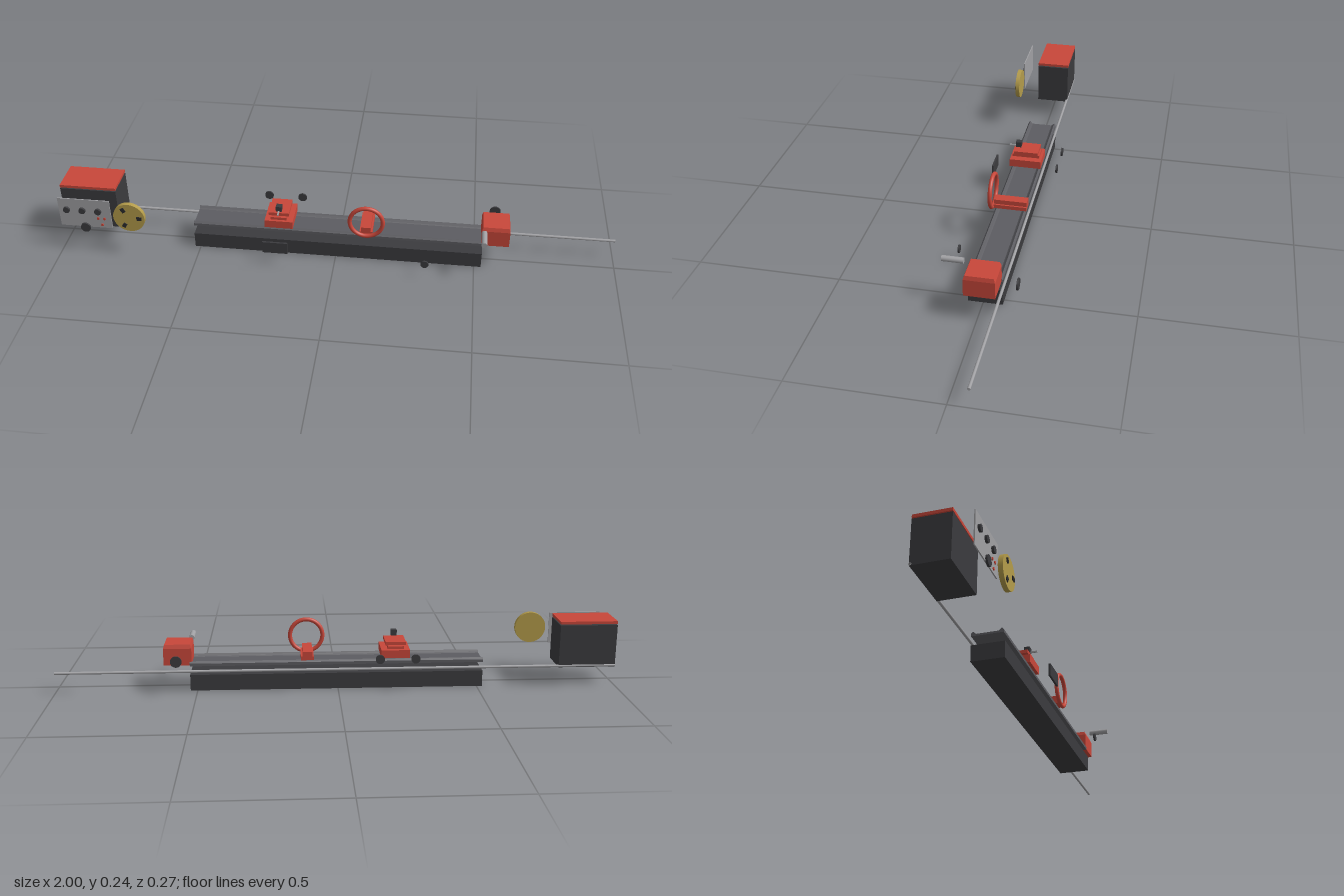
import * as THREE from 'three';

const material = (color) => new THREE.MeshStandardMaterial({ color });
const red = material(0xc8473a), dark = material(0x3b3b3e), iron = material(0x5c5c61);
const steel = material(0xa0a0a3), brass = material(0xb39b4a), black = material(0x2a2a2c);

export function createModel() {
  const root = new THREE.Group();

  const add = (name, geometry, mat, parent = root) => {
    const mesh = new THREE.Mesh(geometry, mat);
    mesh.name = name;
    parent.add(mesh);
    return mesh;
  };
  // Box given by its limits on each axis
  const box = (name, mat, [x0, x1], [y0, y1], [z0, z1], parent) => {
    const mesh = add(name, new THREE.BoxGeometry(x1 - x0, y1 - y0, z1 - z0), mat, parent);
    mesh.position.set((x0 + x1) / 2, (y0 + y1) / 2, (z0 + z1) / 2);
    return mesh;
  };
  // Disc or rod along z
  const disc = (name, mat, x, y, [z0, z1], r, parent, sides = 32) => {
    const geometry = new THREE.CylinderGeometry(r, r, z1 - z0, sides).rotateX(Math.PI / 2);
    const mesh = add(name, geometry, mat, parent);
    mesh.position.set(x, y, (z0 + z1) / 2);
    return mesh;
  };
  const group = (name) => {
    const g = new THREE.Group();
    g.name = name;
    root.add(g);
    return g;
  };

  // Base under the bed
  box('base', dark, [-0.52, 0.525], [0, 0.058], [-0.065, 0.05]);

  // Bed: a slab with ridged guide ways running along it
  const bed = new THREE.Shape([
    [-0.065, 0.09], [0.045, 0.09], [0.045, 0.1], [0.039, 0.107], [0.032, 0.1],
    [0.028, 0.097], [-0.048, 0.097], [-0.052, 0.1], [-0.059, 0.107], [-0.065, 0.1],
  ].map(([z, y]) => new THREE.Vector2(-z, y)));
  const bedGeometry = new THREE.ExtrudeGeometry(bed, { depth: 1.045, bevelEnabled: false });
  bedGeometry.rotateY(Math.PI / 2).translate(-0.52, 0, 0);
  add('bed', bedGeometry, iron);

  // Lead screw behind the bed
  const screw = add('leadScrew', new THREE.CylinderGeometry(0.005, 0.005, 2, 16).rotateZ(Math.PI / 2), steel);
  screw.position.set(0, 0.072, -0.067);

  // Headstock and its separate cover
  box('headstock', dark, [-1, -0.795], [0.067, 0.222], [-0.07, 0.055]);
  box('headstockCover', red, [-1, -0.795], [0.226, 0.236], [-0.07, 0.055]);

  // Control panel with knobs, buttons and a speed dial
  const panel = group('controlPanel');
  box('panelPlate', steel, [-0.99, -0.8], [0.107, 0.224], [0.115, 0.119], panel);
  for (const x of [-0.96, -0.903, -0.845]) disc('panelKnob', dark, x, 0.178, [0.119, 0.127], 0.012, panel);
  for (const [x, y] of [[-0.848, 0.147], [-0.825, 0.147], [-0.836, 0.12]])
    disc('panelButton', red, x, y, [0.119, 0.122], 0.005, panel, 16);
  disc('speedDial', dark, -0.897, 0.109, [0.123, 0.13], 0.018, panel);

  // Chuck with three jaws
  const chuck = group('chuck');
  disc('chuckBody', brass, -0.73, 0.167, [0.115, 0.131], 0.057, chuck, 48);
  for (let i = 0; i < 3; i++) {
    const a = (i * 2 * Math.PI) / 3;
    const x = -0.73 + 0.037 * Math.cos(a), y = 0.167 + 0.037 * Math.sin(a);
    const jaw = box('jaw', black, [x - 0.009, x + 0.009], [y - 0.007, y + 0.007], [0.128, 0.134], chuck);
    jaw.rotation.z = a;
  }

  // Carriage with stacked slides and a tool post
  const carriage = group('carriage');
  box('saddle', red, [-0.257, -0.155], [0.11, 0.139], [-0.067, 0.05], carriage);
  box('crossSlide', red, [-0.235, -0.178], [0.141, 0.151], [-0.058, 0.043], carriage);
  box('topSlide', red, [-0.243, -0.17], [0.154, 0.166], [-0.053, 0.036], carriage);
  box('toolPost', dark, [-0.217, -0.196], [0.171, 0.191], [0.014, 0.035], carriage);
  box('toolBit', steel, [-0.209, -0.204], [0.17, 0.175], [0.015, 0.06], carriage);
  box('apron', dark, [-0.255, -0.165], [0.05, 0.095], [0.114, 0.121]);
  for (const x of [-0.27, -0.145]) disc('carriageHandwheel', dark, x, 0.125, [-0.133, -0.127], 0.016);

  // Steady rest: ring on a foot
  const rest = group('steadyRest');
  const ring = add('ring', new THREE.TorusGeometry(0.059, 0.0075, 16, 64), red, rest);
  ring.position.set(0.11, 0.166, 0.055);
  box('restFoot', red, [0.086, 0.132], [0.107, 0.121], [-0.067, 0.05], rest);
  box('restBlock', red, [0.091, 0.126], [0.121, 0.138], [-0.067, 0.05], rest);

  // Tailstock: body with a top tapering inward
  const tailstock = group('tailstock');
  box('tailstockBody', red, [0.518, 0.617], [0.093, 0.154], [-0.061, 0.043], tailstock);
  const top = new THREE.BoxGeometry(0.099, 0.014, 0.104);
  const p = top.attributes.position;
  for (let i = 0; i < p.count; i++)
    if (p.getY(i) > 0) p.setXYZ(i, p.getX(i) * 0.92, p.getY(i), p.getZ(i) * 0.9);
  top.computeVertexNormals();
  add('tailstockTop', top, red, tailstock).position.set(0.5675, 0.161, -0.009);
  disc('quill', steel, 0.526, 0.16, [0.06, 0.133], 0.01);
  disc('tailstockHandwheel', dark, 0.567, 0.125, [-0.127, -0.121], 0.02);

  // Loose feed handwheel in front of the base
  disc('feedHandwheel', dark, 0.325, 0.055, [0.125, 0.131], 0.014);

  return root;
}
